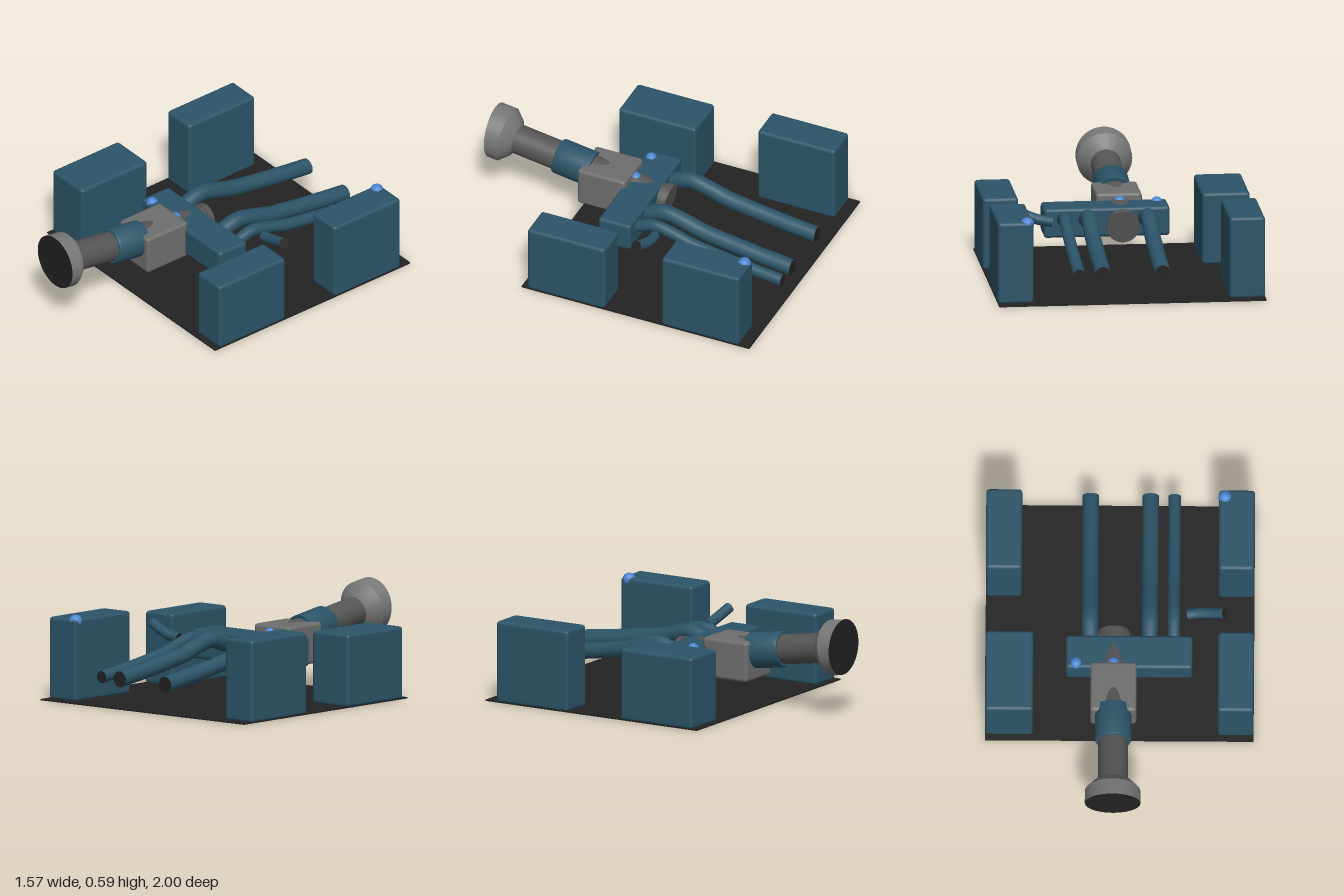
import * as THREE from 'three';
import { toCreasedNormals } from 'three/addons/utils/BufferGeometryUtils.js';
import { RoundedBoxGeometry } from 'three/addons/geometries/RoundedBoxGeometry.js';

const paint = (name, color) => {
  const m = new THREE.MeshStandardMaterial({ color });
  m.name = name;
  return m;
};

export function createModel() {
  const blue = paint('steelBlue', 0x2c5468);
  const dark = paint('nearBlack', 0x222222);
  const midGrey = paint('midGrey', 0x555555);
  const boxGrey = paint('housingGrey', 0x6e6e6e);
  const lightGrey = paint('lightGrey', 0x777777);
  const bright = paint('brightBlue', 0x4a86d2);

  const model = new THREE.Group();
  model.name = 'pipeAssembly';
  const add = (name, geometry, material, parent = model) => {
    const mesh = new THREE.Mesh(geometry, material);
    mesh.name = name;
    parent.add(mesh);
    return mesh;
  };

  // Box given by its limits on each axis
  const roundedBox = (name, [x0, x1], [y0, y1], [z0, z1], material) => {
    const g = new RoundedBoxGeometry(x1 - x0, y1 - y0, z1 - z0, 3, 0.02);
    add(name, g, material).position.set((x0 + x1) / 2, (y0 + y1) / 2, (z0 + z1) / 2);
  };

  // Base plate and the four corner blocks
  add('basePlate', new THREE.BoxGeometry(1.57, 0.008, 1.46), dark).position.set(0, 0.004, -0.27);
  roundedBox('backRightBlock', [-0.785, -0.575], [0, 0.487], [-0.93, -0.435], blue);
  roundedBox('backLeftBlock', [0.575, 0.785], [0, 0.487], [-0.93, -0.435], blue);
  roundedBox('frontRightBlock', [-0.785, -0.505], [0, 0.43], [-0.07, 0.425], blue);
  roundedBox('frontLeftBlock', [0.575, 0.785], [0, 0.43], [-0.07, 0.425], blue);

  // Cross manifold and the housing in front of it
  roundedBox('manifold', [-0.315, 0.425], [0.182, 0.357], [-0.07, 0.135], blue);
  roundedBox('housing', [-0.17, 0.1], [0.16, 0.4], [0.11, 0.415], boxGrey);

  // Tilted barrel: turned parts on one axis rising to the front
  const tilt = 0.152, axisX = -0.035, axisY = 0.27;
  const turned = (points, segments = 32) => {
    const g = new THREE.LatheGeometry(points.map(([r, z]) => new THREE.Vector2(r, z)), segments);
    g.rotateX(Math.PI / 2 - tilt).translate(axisX, axisY, 0);
    return g;
  };
  const barrel = new THREE.Group();
  barrel.name = 'barrel';
  model.add(barrel);
  add('barrelTube', toCreasedNormals(turned([[0, -0.1], [0.088, -0.1], [0.088, 0.88], [0, 0.88]]), 0.6), midGrey, barrel);
  add('rearFlange', toCreasedNormals(turned([[0, -0.12], [0.097, -0.12], [0.097, -0.085], [0, -0.085]]), 0.6), midGrey, barrel);
  add('sleeve', toCreasedNormals(turned([[0, 0.38], [0.106, 0.38], [0.106, 0.59], [0.1, 0.602], [0, 0.602]]), 0.6), blue, barrel);

  // Flared head, trimmed upright at its front
  const head = turned([[0, 0.865], [0.086, 0.865], [0.115, 0.882], [0.163, 0.935], [0.163, 1.06]], 48);
  const p = head.attributes.position;
  for (let i = 0; i < p.count; i++) {
    if (p.getZ(i) < 0.99) continue;
    p.setY(i, p.getY(i) - (p.getZ(i) - 1) * Math.tan(tilt));
    p.setZ(i, 1);
  }
  add('head', toCreasedNormals(head, 0.5), lightGrey, barrel);
  const face = add('headFace', new THREE.CircleGeometry(0.163, 48), dark, barrel);
  face.scale.y = 1 / Math.cos(tilt);
  face.position.set(axisX, axisY + Math.tan(tilt), 1);

  // Hoses with dark end caps
  const hose = (name, points, radius, capBoth) => {
    const group = new THREE.Group();
    group.name = name;
    model.add(group);
    const curve = new THREE.CatmullRomCurve3(points.map((q) => new THREE.Vector3(...q)));
    const g = new THREE.TubeGeometry(curve, 32, radius, 14);
    const a = g.attributes.position;
    for (let i = 0; i < a.count; i++) if (a.getZ(i) < -0.985) a.setZ(i, -1);
    add(name + 'Tube', g, blue, group);
    for (const t of capBoth ? [0, 1] : [1]) {
      const cap = add(name + 'Cap', new THREE.CircleGeometry(radius, 14), dark, group);
      const out = curve.getTangent(t).multiplyScalar(t ? 1 : -1);
      if (!capBoth) out.set(0, 0, -1);
      cap.quaternion.setFromUnitVectors(new THREE.Vector3(0, 0, 1), out);
      cap.position.copy(curve.getPoint(t));
    }
  };
  const drop = [[0, 0.27], [-0.08, 0.297], [-0.19, 0.328], [-0.3, 0.305], [-0.43, 0.265],
    [-0.6, 0.235], [-0.8, 0.205], [-1, 0.18]];
  for (const [name, x, r] of [['rightHose', -0.175, 0.048], ['middleHose', 0.175, 0.048], ['leftHose', 0.315, 0.036]]) {
    hose(name, drop.map(([z, y]) => [x, y, z]), r, false);
  }
  hose('sideHose', [[0.395, 0.318, -0.217], [0.46, 0.33, -0.22], [0.54, 0.357, -0.212], [0.61, 0.388, -0.198]], 0.031, true);

  // Indicator domes
  for (const [name, x, y, z, r] of [
    ['manifoldLamp', -0.255, 0.343, 0.1, 0.035],
    ['barrelLamp', -0.035, 0.352, 0.1, 0.035],
    ['blockLamp', 0.61, 0.47, -0.89, 0.04],
  ]) add(name, new THREE.SphereGeometry(r, 16, 12), bright).position.set(x, y, z);

  return model;
}
